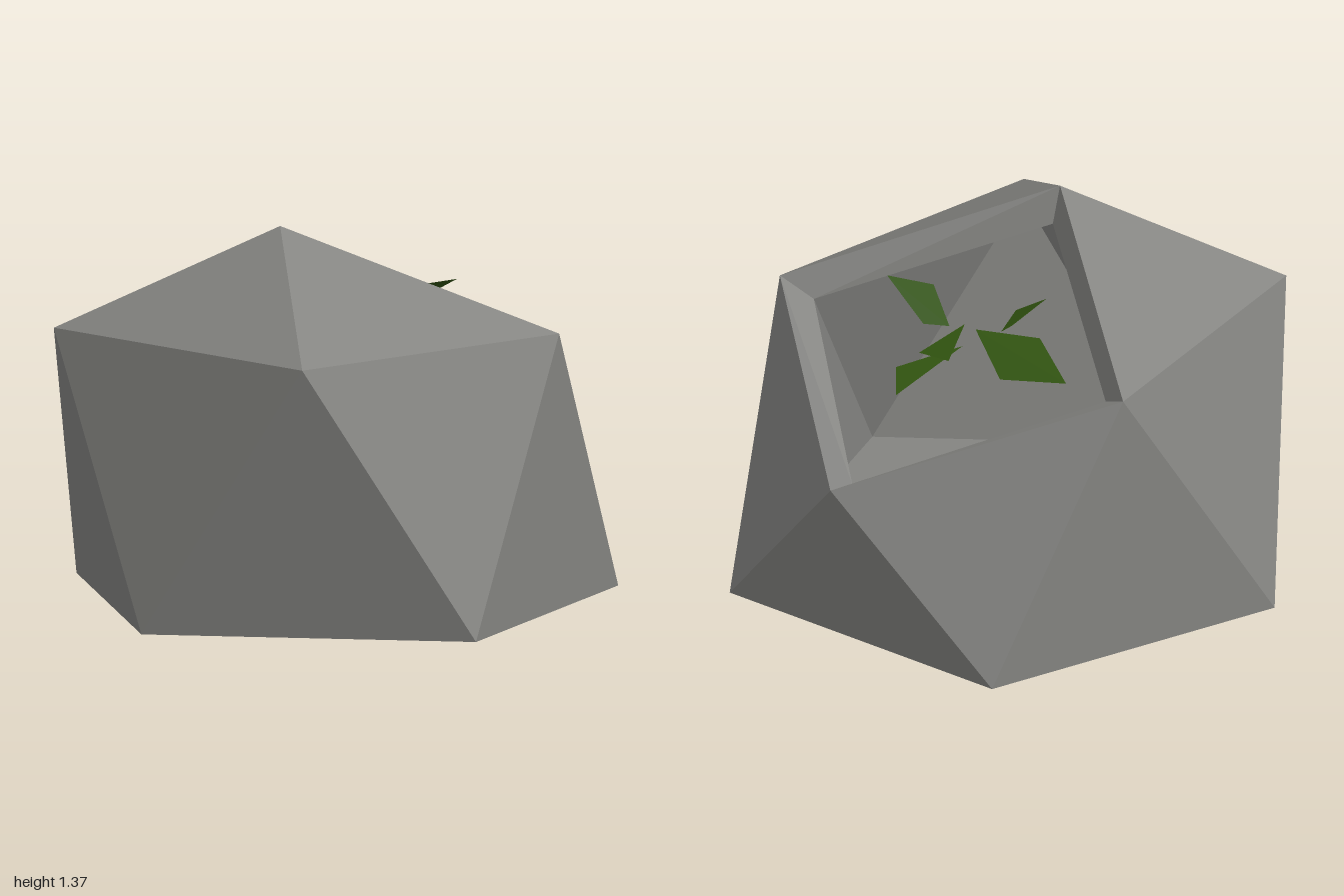
import * as THREE from 'three';

const stone = new THREE.MeshStandardMaterial({ color: 0x848481, side: THREE.DoubleSide, flatShading: true });
stone.name = 'grey stone';
const green = new THREE.MeshStandardMaterial({ color: 0x30520f, side: THREE.DoubleSide, flatShading: true });
green.name = 'leaf green';

// Corner names: A/B/C base ring, L/R shoulders, T peak, P spout; F = front, K = back
const outer = {
  A: [-1, 0, 0], BF: [-0.3, 0, 0.965], BK: [-0.3, 0, -0.965], CF: [0.83, 0, 0.6], CK: [0.83, 0, -0.6],
  LF: [-0.81, 1, 0.6], LK: [-0.81, 1, -0.6], RF: [0.325, 1, 0.785], RK: [0.325, 1, -0.785],
  P: [1, 0.66, 0], T: [-0.28, 1.37, 0],
};
const inner = {
  A: [-0.89, 0.11, 0], BF: [-0.27, 0.11, 0.85], BK: [-0.27, 0.11, -0.85], CF: [0.73, 0.11, 0.53], CK: [0.73, 0.11, -0.53],
  LF: [-0.72, 0.99, 0.53], LK: [-0.72, 0.99, -0.53], RF: [0.3, 0.94, 0.65], RK: [0.27, 0.94, -0.66],
  P: [0.84, 0.61, 0.03], T: [-0.24, 1.235, 0],
};

// Shell faces, leaving the T-R-P-R quad open
const half = ['A B L', 'B R L', 'B C R', 'C P R', 'T L R'];
const named = (f, s) => f.split(' ').map((n) => ('BCLR'.includes(n) ? n + s : n));
const faces = [
  ...half.map((f) => named(f, 'F')), ...half.map((f) => named(f, 'K')),
  ['A', 'LF', 'LK'], ['T', 'LF', 'LK'], ['CF', 'CK', 'P'],
  ['A', 'BF', 'BK'], ['BF', 'CF', 'CK'], ['BF', 'CK', 'BK'],
];

function makeMesh(name, triangles, material) {
  const geometry = new THREE.BufferGeometry();
  geometry.setAttribute('position', new THREE.Float32BufferAttribute(triangles.flat(2), 3));
  geometry.computeVertexNormals();
  const mesh = new THREE.Mesh(geometry, material);
  mesh.name = name;
  return mesh;
}

// Turn a triangle away from a point (sign 1) or towards it (sign -1)
function orient(tri, centre, sign) {
  const [a, b, c] = tri.map((p) => new THREE.Vector3(...p));
  const n = b.clone().sub(a).cross(c.clone().sub(a));
  return n.dot(a.sub(centre)) * sign > 0 ? tri : [tri[0], tri[2], tri[1]];
}

export function createModel() {
  const model = new THREE.Group();
  model.name = 'facetedPlanter';
  const centre = new THREE.Vector3(0, 0.5, 0);
  const shell = (pts, sign) => faces.map((f) => orient(f.map((n) => pts[n]), centre, sign));
  model.add(makeMesh('outerShell', shell(outer, 1), stone));
  model.add(makeMesh('innerShell', shell(inner, -1), stone));

  // Rim joining both shells around the opening
  const loop = ['T', 'RF', 'P', 'RK'];
  const rim = loop.flatMap((n, i) => {
    const m = loop[(i + 1) % 4];
    return [[outer[n], outer[m], inner[m]], [outer[n], inner[m], inner[n]]];
  });
  model.add(makeMesh('rim', rim, stone));

  // Leaves: each outline is a fan from its first corner
  const leaves = [
    [[0.3, 1.055, -0.09], [0.42, 0.97, -0.3], [0.32, 0.985, -0.52], [0.21, 1.055, -0.31]],
    [[0.25, 1.05, -0.165], [0.22, 1.07, -0.19], [0.07, 1.13, -0.225], [0.1, 1.06, -0.11]],
    [[0.3, 1.06, -0.04], [0.53, 1.03, -0.02], [0.53, 1.04, -0.155]],
    [[0.3, 0.97, -0.03], [0.5, 0.92, 0.11], [0.61, 0.88, 0.02]],
    [[0.3, 1.03, 0.03], [0.205, 1.11, 0.18], [0.3, 1.14, 0.315], [0.36, 1.04, 0.1]],
  ];
  const plant = new THREE.Group();
  plant.name = 'plant';
  leaves.forEach((l, i) => {
    const fan = l.slice(2).map((p, k) => [l[0], l[k + 1], p]);
    plant.add(makeMesh('leaf' + (i + 1), fan, green));
  });
  model.add(plant);
  return model;
}
